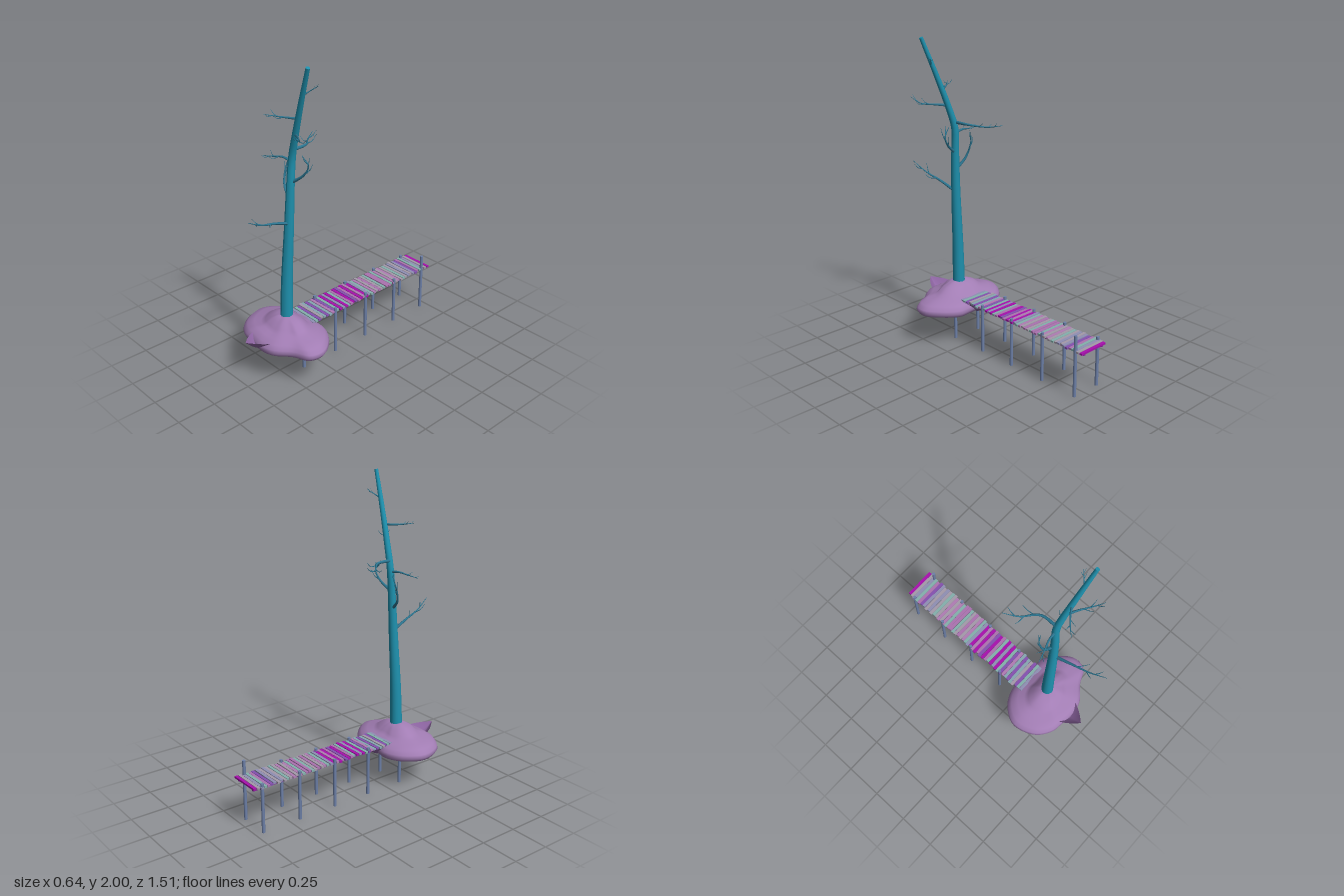
import * as THREE from 'three';

const V = (x, y, z) => new THREE.Vector3(x, y, z);
const material = (color, extra = {}) => new THREE.MeshStandardMaterial({ color, ...extra });

function add(parent, name, geometry, mat, x = 0, y = 0, z = 0) {
  const mesh = new THREE.Mesh(geometry, mat);
  mesh.name = name;
  mesh.position.set(x, y, z);
  parent.add(mesh);
  return mesh;
}

function seeded(seed) {
  return () => (seed = (seed * 16807) % 2147483647) / 2147483647;
}

// Tube whose radius follows radiusAt(t)
function taperedTube(curve, segments, sides, radiusAt) {
  const geometry = new THREE.TubeGeometry(curve, segments, 1, sides);
  const pos = geometry.attributes.position;
  const v = new THREE.Vector3();
  for (let i = 0; i <= segments; i++) {
    const centre = curve.getPointAt(i / segments);
    for (let j = 0; j <= sides; j++) {
      const k = i * (sides + 1) + j;
      v.fromBufferAttribute(pos, k).sub(centre).multiplyScalar(radiusAt(i / segments)).add(centre);
      pos.setXYZ(k, v.x, v.y, v.z);
    }
  }
  geometry.computeVertexNormals();
  return geometry;
}

// Surface from rows of points
function gridSurface(rows, closed) {
  const n = rows[0].length;
  const index = [];
  for (let i = 0; i < rows.length - 1; i++) {
    for (let j = 0; j < (closed ? n : n - 1); j++) {
      const a = i * n + j, b = i * n + (j + 1) % n;
      index.push(a, a + n, b, b, a + n, b + n);
    }
  }
  const geometry = new THREE.BufferGeometry().setFromPoints(rows.flat());
  geometry.setIndex(index);
  geometry.computeVertexNormals();
  return geometry;
}

function createIsland() {
  const island = new THREE.Group();
  island.name = 'island';
  const mat = material(0xa27db4);

  // Lobed mound: one outline scaled through a top-to-bottom profile
  const outline = new THREE.CatmullRomCurve3([
    [0.315, 0.41], [0.25, 0.31], [0.15, 0.24], [0.08, 0.235], [-0.02, 0.24], [-0.125, 0.23], [-0.24, 0.28],
    [-0.318, 0.4], [-0.275, 0.55], [-0.18, 0.625], [-0.1, 0.64], [0, 0.65], [0.1, 0.63], [0.2, 0.55], [0.295, 0.5],
  ].map(([x, z]) => V(x, 0, z)), true).getPoints(72).slice(0, 72);
  const profile = [[0.001, 0.38], [0.2, 0.375], [0.36, 0.355], [0.48, 0.325], [0.58, 0.307], [0.74, 0.3],
    [0.9, 0.28], [0.98, 0.255], [1, 0.235], [0.95, 0.212], [0.7, 0.19], [0.35, 0.166], [0.001, 0.158]];
  const rows = profile.map(([s, y]) => outline.map((p, j) => {
    const ripple = 0.008 * Math.sin(j / 72 * Math.PI * 10) * s * (1.2 - s);
    return V(-0.01 + (p.x + 0.01) * s, y + ripple, 0.43 + (p.z - 0.43) * s);
  }));
  add(island, 'mound', gridSurface(rows, true), mat);

  // Keeled, upturned lips at the front and back
  const lipMat = material(0x8f66a4, { side: THREE.DoubleSide });
  for (const [name, base, tip] of [['frontLip', 0.57, 0.737], ['backLip', 0.28, 0.128]]) {
    const lip = [];
    for (let i = 0; i <= 12; i++) {
      const t = i / 12, row = [];
      const keel = 0.195 + 0.105 * t ** 1.7, edge = 0.272 + 0.028 * t;
      for (let s = -1; s <= 1.01; s += 0.25) {
        row.push(V(-0.02 + s * 0.095 * (1 - t ** 1.8), keel + (edge - keel) * Math.abs(s) ** 1.3, base + (tip - base) * t));
      }
      lip.push(row);
    }
    add(island, name, gridSurface(lip, false), lipMat);
  }
  return island;
}

function createTree() {
  const tree = new THREE.Group();
  tree.name = 'tree';
  const bark = material(0x1e90ad), branchMat = material(0x2c7590);

  // Trunk with a bend near y = 1.4
  const trunk = new THREE.CatmullRomCurve3([
    V(-0.01, 0.3, 0.427), V(-0.003, 0.6, 0.422), V(0.018, 1, 0.41), V(0.027, 1.25, 0.4),
    V(0.035, 1.42, 0.39), V(0.07, 1.54, 0.397), V(0.15, 1.76, 0.418), V(0.243, 1.996, 0.442)]);
  add(tree, 'trunk', taperedTube(trunk, 40, 14, t => 0.041 - 0.029 * t), bark);
  const cap = add(tree, 'trunkTop', new THREE.CircleGeometry(0.012, 14), bark);
  cap.position.copy(trunk.getPoint(1));
  cap.lookAt(cap.position.clone().add(trunk.getTangent(1)));

  // Branches: base radius, then path points
  const branches = [
    [0.011, [0.02, 1, 0.41], [0.04, 1.05, 0.54], [0.06, 1.085, 0.65], [0.085, 1.145, 0.755]],
    [0.011, [0.02, 1.15, 0.4], [-0.045, 1.215, 0.385], [-0.066, 1.3, 0.36], [-0.05, 1.39, 0.335]],
    [0.011, [0.03, 1.26, 0.4], [0.11, 1.325, 0.37], [0.14, 1.385, 0.36], [0.1, 1.44, 0.37]],
    [0.011, [0.035, 1.46, 0.39], [0.025, 1.46, 0.28], [-0.06, 1.445, 0.19], [-0.11, 1.46, 0.11]],
    [0.009, [0.03, 1.39, 0.39], [-0.04, 1.4, 0.4], [-0.1, 1.39, 0.42], [-0.17, 1.38, 0.44]],
    [0.009, [0.08, 1.57, 0.4], [0.15, 1.58, 0.44], [0.22, 1.59, 0.49], [0.265, 1.63, 0.53]],
    [0.008, [0.12, 1.675, 0.41], [0.07, 1.675, 0.44], [0.02, 1.68, 0.48], [-0.03, 1.69, 0.53]],
    [0.005, [0.185, 1.83, 0.425], [0.205, 1.85, 0.4], [0.24, 1.88, 0.365]],
  ];
  branches.forEach(([radius, ...points], i) => {
    const curve = new THREE.CatmullRomCurve3(points.map(p => V(...p)));
    add(tree, 'branch', taperedTube(curve, 16, 7, t => radius * (1 - 0.88 * t)), branchMat);
    // Fine twigs fork upward to alternating sides
    [0.45, 0.62, 0.78].forEach((t, k) => {
      const start = curve.getPointAt(t), dir = curve.getTangentAt(t);
      const side = V(-dir.z, 0.25, dir.x).multiplyScalar((i + k) % 2 ? 1 : -1);
      const length = radius * (6.5 - k);
      const mid = start.clone().addScaledVector(dir, length * 0.5).addScaledVector(side, length * 0.4);
      const end = mid.clone().addScaledVector(dir, length * 0.4).addScaledVector(side, length * 0.3);
      end.y += length * 0.4;
      const twig = new THREE.CatmullRomCurve3([start, mid, end]);
      add(tree, 'twig', taperedTube(twig, 6, 5, s => radius * 0.35 * (1 - 0.8 * s)), branchMat);
    });
  });
  return tree;
}

function createPier() {
  const pier = new THREE.Group();
  pier.name = 'pier';
  const random = seeded(41);
  const plankMats = [0x86a6b2, 0xab72b0, 0x8f8fb4, 0xa80fae, 0x84b0ac, 0xb07cb4, 0x8450b0, 0xa49aaa].map(c => material(c));
  const postMat = material(0x6d80a8), beamMat = material(0x7d2f92);

  // Uneven deck planks
  const count = 46, pitch = 1.055 / count;
  for (let i = 0; i < count; i++) {
    const plank = add(pier, 'plank', new THREE.BoxGeometry(0.208 + random() * 0.008, 0.012, 0.0195),
      plankMats[Math.floor(random() * plankMats.length)],
      -0.021 + (random() - 0.5) * 0.012, 0.298 + (random() - 0.5) * 0.004, -0.745 + i * pitch);
    plank.rotation.y = (random() - 0.5) * 0.03;
  }

  // Long beams under the deck
  for (const x of [-0.1, 0.058]) {
    add(pier, 'beam', new THREE.BoxGeometry(0.015, 0.012, 1.04), beamMat, x, 0.287, -0.228);
  }

  // Paired posts with cross bars; one end post stands taller
  for (let i = 0; i < 5; i++) {
    const z = 0.365 - i * 0.265;
    add(pier, 'crossBar', new THREE.BoxGeometry(0.2, 0.011, 0.015), beamMat, -0.021, 0.285, z);
    for (const x of [-0.12, 0.077]) {
      const h = i === 4 && x > 0 ? 0.395 : 0.322;
      add(pier, 'post', new THREE.CylinderGeometry(0.0105, 0.0105, h, 10), postMat, x, h / 2, z);
    }
  }
  return pier;
}

export function createModel() {
  const model = new THREE.Group();
  model.name = 'islandWithTreeAndPier';
  model.add(createIsland(), createTree(), createPier());
  return model;
}
